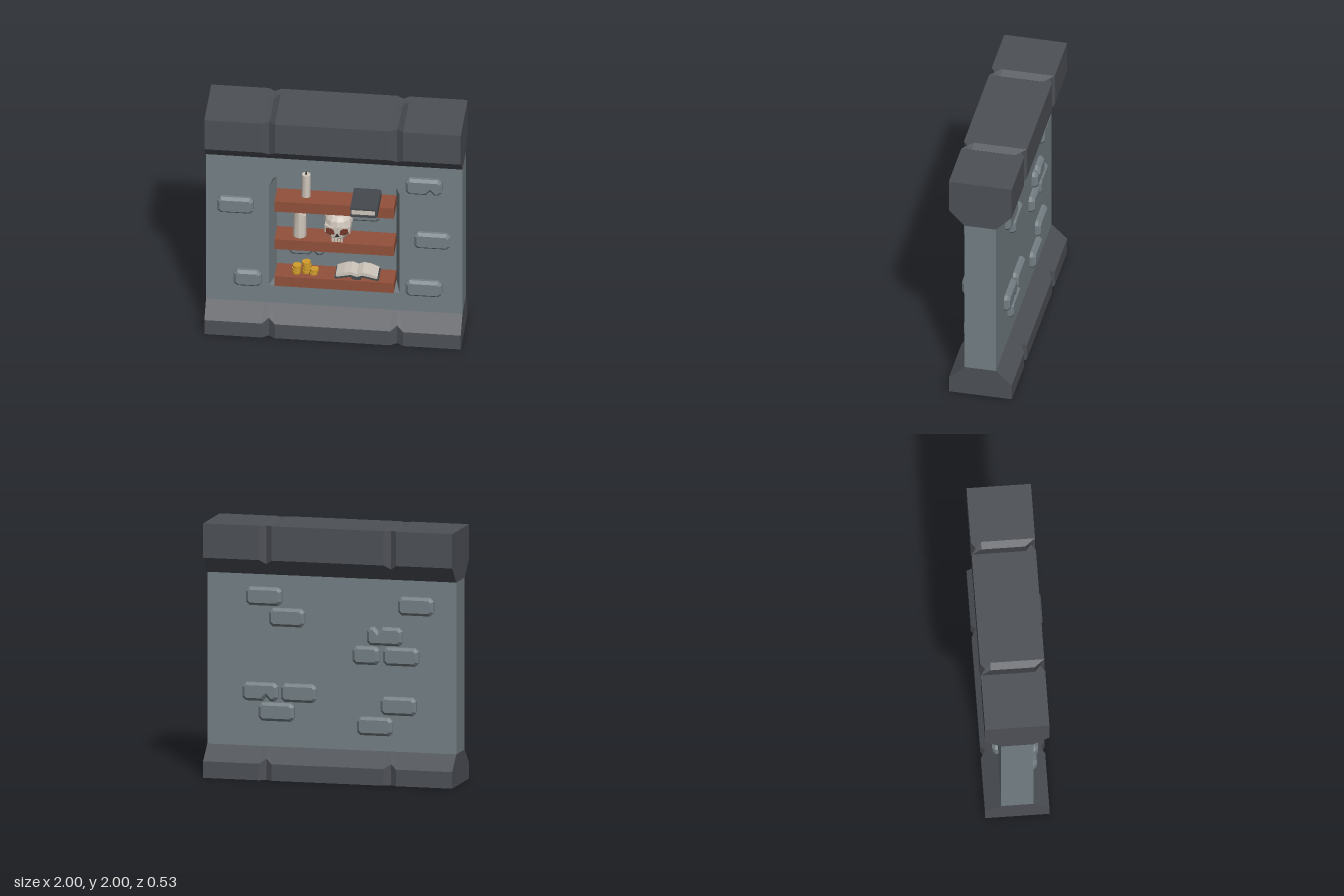
import * as THREE from 'three';

const mat = (name, color, extra = {}) => new THREE.MeshStandardMaterial({ name, color, ...extra });
const V = (x, y, z) => new THREE.Vector3(x, y, z);

// Faceted skin through matching rings of points, with optional fan ends
function loft(rings, closed, ends) {
  const pts = [];
  const n = rings[0].length;
  for (let i = 0; i < rings.length - 1; i++) {
    for (let j = 0; j < (closed ? n : n - 1); j++) {
      const k = (j + 1) % n;
      const [a, b, c, d] = [rings[i][j], rings[i][k], rings[i + 1][k], rings[i + 1][j]];
      pts.push(a, b, c, a, c, d);
    }
  }
  if (ends) {
    const s = rings[0], e = rings[rings.length - 1];
    for (let j = 1; j < n - 1; j++) pts.push(s[0], s[j + 1], s[j], e[0], e[j], e[j + 1]);
  }
  const g = new THREE.BufferGeometry().setFromPoints(pts);
  g.computeVertexNormals();
  return g;
}

function faceted(geo) {
  const g = geo.index ? geo.toNonIndexed() : geo;
  g.computeVertexNormals();
  return g;
}

function polygon(points) {
  return new THREE.Shape(points.map(([x, y]) => new THREE.Vector2(x, y)));
}

export function createModel() {
  const model = new THREE.Group();
  model.name = 'wallWithShelves';
  const stone = mat('wallStone', 0x747f84, { side: THREE.DoubleSide });
  const dark = mat('darkStone', 0x4d5056, { side: THREE.DoubleSide });
  const wood = mat('shelfWood', 0x91503b);
  const bone = mat('bone', 0xcfc6bb);
  const gold = mat('gold', 0xd09c2c);
  const cover = mat('bookCover', 0x454a4e);
  const socket = mat('eyeSocket', 0x74392b);
  const black = mat('wick', 0x2c2b2c);

  const add = (name, geo, material, x = 0, y = 0, z = 0, parent = model) => {
    const m = new THREE.Mesh(geo, material);
    m.name = name;
    m.position.set(x, y, z);
    parent.add(m);
    return m;
  };
  const box = (name, material, x0, x1, y0, y1, z0, z1, parent = model) =>
    add(name, new THREE.BoxGeometry(x1 - x0, y1 - y0, z1 - z0), material,
      (x0 + x1) / 2, (y0 + y1) / 2, (z0 + z1) / 2, parent);

  // Top and bottom courses: grooved at x = -0.5 and 0.5
  const stations = [[-1, 0], [-0.55, 0], [-0.5, 0.035], [-0.45, 0], [0.45, 0], [0.5, 0.035], [0.55, 0], [1, 0]];
  const course = profile => loft(stations.map(([x, d]) => profile(d).map(([z, y]) => V(x, y, z - 0.015))), false, false);
  const courseEnds = profile => loft([-1, 1].map(x => profile(0).map(([z, y]) => V(x, y, z - 0.015))), false, true);
  const capProfile = d => [[-0.125, 1.6], [d - 0.25, 1.73 - d], [d - 0.25, 2], [-0.17, 2 - d],
    [0.17, 2 - d], [0.25 - d, 2], [0.25 - d, 1.73 - d], [0.125, 1.6]];
  const baseProfile = d => [[d - 0.25, 0], [d - 0.25, 0.13 + d], [-0.125, 0.25],
    [0.125, 0.25], [0.25 - d, 0.13 + d], [0.25 - d, 0]];
  for (const [name, profile] of [['topCourse', capProfile], ['bottomCourse', baseProfile]]) {
    add(name, course(profile), dark);
    // Keep only the two fan ends of the straight loft
    const ends = courseEnds(profile);
    const skip = (profile(0).length - 1) * 6;
    const p = ends.attributes.position.array.slice(skip * 3);
    const g = new THREE.BufferGeometry();
    g.setAttribute('position', new THREE.BufferAttribute(p, 3));
    g.computeVertexNormals();
    add(name + 'Ends', g, dark);
  }

  // Wall with an arched niche
  const mirrored = half => [...half, ...half.map(([x, y]) => [-x, y]).reverse()];
  const outer = mirrored([[0.51, 0.41], [0.51, 1.33], [0.475, 1.415], [0.32, 1.5], [0.1, 1.56]]);
  const inner = mirrored([[0.465, 0.41], [0.465, 1.33], [0.42, 1.385], [0.29, 1.455], [0.1, 1.51]]);
  const face = polygon([[-1, 0.25], [1, 0.25], [1, 1.6], [-1, 1.6]]);
  face.holes.push(polygon(outer));
  add('wallFront', new THREE.ExtrudeGeometry(face, { depth: 0.18, bevelEnabled: false }), stone, 0, 0, -0.07);
  box('wallBack', stone, -1, 1, 0.25, 1.6, -0.14, -0.07);
  add('nicheReveal', loft([outer.map(([x, y]) => V(x, y, 0.11)), inner.map(([x, y]) => V(x, y, -0.07))], true, false), stone);

  // Raised bricks; some have a chip in one edge
  function brick(w, chip) {
    const a = w / 2, b = 0.072, c = 0.028;
    const pts = [[-a + c, -b]];
    if (chip) pts.push([0.02, -b], [0.05, -b + 0.035], [0.08, -b]);
    pts.push([a - c, -b], [a, -b + c], [a, b - c], [a - c, b], [-a + c, b], [-a, b - c], [-a, -b + c]);
    return new THREE.ExtrudeGeometry(polygon(pts), {
      depth: 0.03, bevelThickness: 0.022, bevelSize: 0.022, bevelOffset: -0.022, bevelSegments: 1,
    });
  }
  const frontBricks = [
    [-0.77, 1.155, 0.285, 0], [0.7, 1.43, 0.285, 1], [0.765, 0.93, 0.285, 0], [0.7, 0.48, 0.285, 0], [-0.675, 0.48, 0.215, 0],
  ];
  for (const [x, y, w, chip] of frontBricks) add('frontBrick', brick(w, chip), stone, x, y, 0.103);
  for (const [x, y, chip] of [[0.2, 1.03, 0], [-0.23, 0.685, 1]]) add('nicheBrick', brick(0.285, chip), stone, x, y, -0.077);
  const backBricks = [
    [0.54, 1.43, 0.285, 0], [0.355, 1.27, 0.285, 0], [-0.68, 1.4, 0.285, 0], [-0.43, 1.155, 0.285, 2],
    [-0.28, 1, 0.215, 0], [-0.56, 1, 0.285, 0], [0.57, 0.68, 0.285, 1], [0.26, 0.68, 0.285, 0],
    [0.44, 0.525, 0.285, 0], [-0.54, 0.61, 0.285, 0], [-0.35, 0.445, 0.285, 0],
  ];
  for (const [x, y, w, chip] of backBricks) {
    const m = add('backBrick', brick(w, chip), stone, x, y, -0.133);
    m.rotation.set(0, Math.PI, chip === 2 ? Math.PI : 0);
  }

  // Shelves
  for (const [y0, y1] of [[1.105, 1.2], [0.755, 0.845], [0.41, 0.5]]) box('shelf', wood, -0.465, 0.465, y0, y1, -0.07, 0.116);

  // Candles: the wide one has a slanted top
  function candle(x, y, z, r, h, slant) {
    const g = new THREE.CylinderGeometry(r * 0.96, r, h, 10);
    const p = g.attributes.position;
    for (let i = 0; i < p.count; i++) {
      if (p.getY(i) > 0) p.setY(i, h / 2 - Math.max(0, p.getX(i)) * slant);
    }
    g.computeVertexNormals();
    add('candle', g, bone, x, y + h / 2, z);
    add('candleWick', new THREE.CylinderGeometry(0.007, 0.009, 0.035, 6), black, x, y + h + 0.003, z);
  }
  candle(-0.23, 1.2, 0.01, 0.036, 0.2, 0);
  candle(-0.277, 0.845, 0.03, 0.053, 0.235, 1);

  // Skull
  const skull = new THREE.Group();
  skull.name = 'skull';
  skull.position.set(0.023, 0.845, 0.005);
  model.add(skull);
  const cranium = add('cranium', faceted(new THREE.SphereGeometry(1, 12, 8)), bone, 0, 0.152, 0, skull);
  cranium.scale.set(0.112, 0.088, 0.112);
  const ring = (y, w, z0, z1) => [V(-w, y, z0), V(-w, y, z1 - 0.025), V(-w * 0.6, y, z1), V(w * 0.6, y, z1), V(w, y, z1 - 0.025), V(w, y, z0)];
  add('face', loft([ring(0.02, 0.05, -0.02, 0.09), ring(0.05, 0.065, -0.05, 0.11), ring(0.085, 0.1, -0.07, 0.115),
    ring(0.15, 0.1, -0.07, 0.118)], true, true), bone, 0, 0, 0, skull);
  for (const s of [-1, 1]) {
    const eye = polygon([[0.02, 0.088], [0.055, 0.08], [0.088, 0.1], [0.085, 0.135], [0.05, 0.14], [0.025, 0.122]].map(([x, y]) => [x * s, y]));
    add('eyeSocket', new THREE.ExtrudeGeometry(eye, { depth: 0.009, bevelEnabled: false }), socket, 0, 0, 0.112, skull);
  }
  const nose = polygon([[-0.017, 0.062], [0.017, 0.062], [0, 0.095]]);
  add('noseHole', new THREE.ExtrudeGeometry(nose, { depth: 0.008, bevelEnabled: false }), black, 0, 0, 0.11, skull);
  for (let i = 0; i < 4; i++) box('tooth', bone, -0.044 + i * 0.023, -0.026 + i * 0.023, 0.008, 0.042, 0.08, 0.107, skull);

  // Closed book overhanging the top shelf
  box('bookPages', bone, 0.15, 0.335, 1.216, 1.264, -0.012, 0.253);
  box('bookCoverBottom', cover, 0.14, 0.335, 1.2, 1.217, -0.02, 0.263);
  box('bookCoverTop', cover, 0.14, 0.335, 1.263, 1.28, -0.02, 0.263);
  const spine = polygon([[0.333, 1.2], [0.345, 1.203], [0.355, 1.22], [0.355, 1.26], [0.345, 1.277], [0.333, 1.28]]);
  add('bookSpine', new THREE.ExtrudeGeometry(spine, { depth: 0.283, bevelEnabled: false }), cover, 0, 0, -0.02);

  // Open book on the bottom shelf
  const book = new THREE.Group();
  book.name = 'openBook';
  book.position.set(0.172, 0.5, -0.062);
  model.add(book);
  for (const s of [-1, 1]) {
    const pages = [[0, 0.022], [0.04, 0.038], [0.16, 0.014], [0.163, 0.032], [0.1, 0.058], [0.045, 0.068], [0, 0.05]];
    const board = [[0, 0], [0.03, 0.004], [0.045, 0.026], [0.172, 0], [0.172, 0.012], [0.045, 0.04], [0, 0.024]];
    const slab = (name, pts, depth, z, m) => add(name,
      new THREE.ExtrudeGeometry(polygon(pts.map(([x, y]) => [x * s, y])), { depth, bevelEnabled: false }), m, 0, 0, z, book);
    slab('openPages', pages, 0.15, 0.006, bone);
    slab('openCover', board, 0.162, 0, cover);
  }

  // Coin stacks, each coin nudged a little
  for (const [x, z, count] of [[-0.3, 0.045, 3], [-0.222, 0.03, 4], [-0.165, 0.045, 2]]) {
    for (let i = 0; i < count; i++) {
      add('coin', new THREE.CylinderGeometry(0.035, 0.035, 0.021, 10), gold, x + 0.004 * Math.sin(i * 2.3 + x * 9), 0.512 + i * 0.026, z);
      if (i) add('coinRim', new THREE.CylinderGeometry(0.029, 0.029, 0.008, 10), gold, x, 0.499 + i * 0.026, z);
    }
  }
  return model;
}
